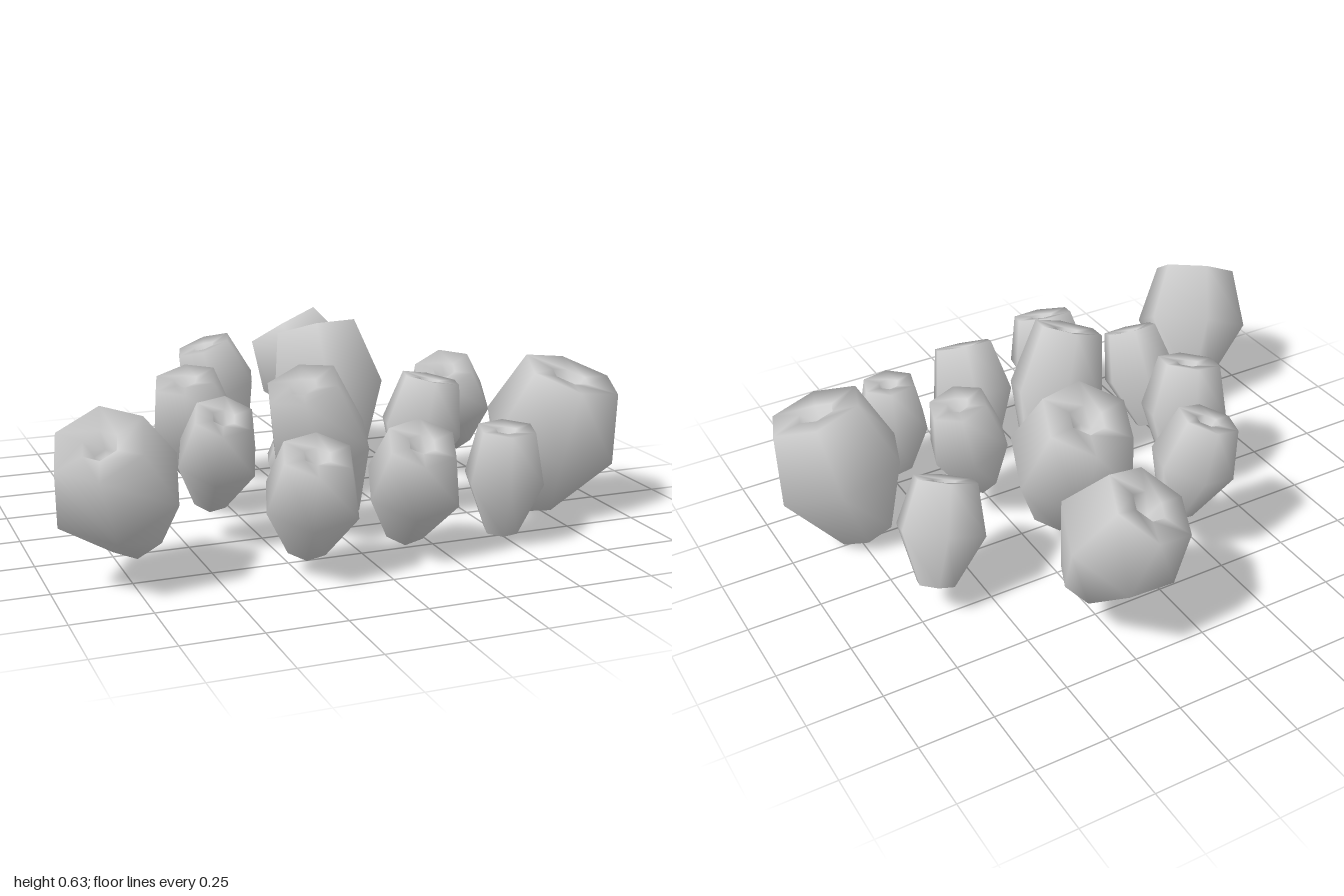
import * as THREE from 'three';

// Each pod: base point, mouth point, radius at the widest ring
const PODS = [
  [[0.31, 0.18, -0.53], [0.16, 0.51, -0.67], 0.215],
  [[0.16, 0.12, -0.08], [0.13, 0.575, -0.25], 0.22],
  [[-0.14, 0.19, -0.37], [-0.25, 0.52, -0.38], 0.145],
  [[0.69, 0.12, -0.24], [0.58, 0.42, -0.12], 0.155],
  [[-0.35, 0.13, -0.07], [-0.43, 0.49, 0], 0.155],
  [[-0.07, 0.07, 0.02], [-0.05, 0.28, 0.04], 0.1],
  [[0.31, 0.12, 0.19], [0.38, 0.47, 0.19], 0.145],
  [[-0.41, 0.13, 0.2], [-0.41, 0.45, 0.36], 0.14],
  [[0.02, 0.07, 0.26], [-0.15, 0.53, 0.36], 0.175],
  [[-0.71, 0.11, 0.41], [-0.86, 0.47, 0.6], 0.21],
  [[-0.22, 0.07, 0.58], [-0.23, 0.4, 0.7], 0.16],
  [[0.15, 0.05, 0.49], [0.13, 0.39, 0.66], 0.16],
  [[0.47, 0.03, 0.55], [0.47, 0.38, 0.57], 0.135],
  [[0.72, 0.025, 0.26], [0.82, 0.485, 0.37], 0.237],
];

const SIDES = 6;
const ROLL = THREE.MathUtils.degToRad(42);

// Open base, widest ring, rim and sunken mouth as [radius, height] fractions
const PROFILE = [[0.42, 0], [1, 0.52], [0.72, 1], [0.28, 0.98], [0.18, 0.84], [0, 0.83]];

const material = new THREE.MeshStandardMaterial({ color: 0xcccccc, side: THREE.DoubleSide });

function makePod([base, mouth, radius]) {
  const start = new THREE.Vector3(...base);
  const axis = new THREE.Vector3(...mouth).sub(start);
  const height = axis.length();
  const points = PROFILE.map(([r, h]) => new THREE.Vector2(r * radius, h * height));
  const pod = new THREE.Mesh(new THREE.LatheGeometry(points, SIDES, ROLL), material);
  // Lean the pod along its own axis
  pod.position.copy(start);
  pod.quaternion.setFromUnitVectors(new THREE.Vector3(0, 1, 0), axis.normalize());
  return pod;
}

export function createModel() {
  const model = new THREE.Group();
  model.name = 'podCluster';
  PODS.forEach((spec, i) => {
    const pod = makePod(spec);
    pod.name = `pod${i + 1}`;
    model.add(pod);
  });
  return model;
}
